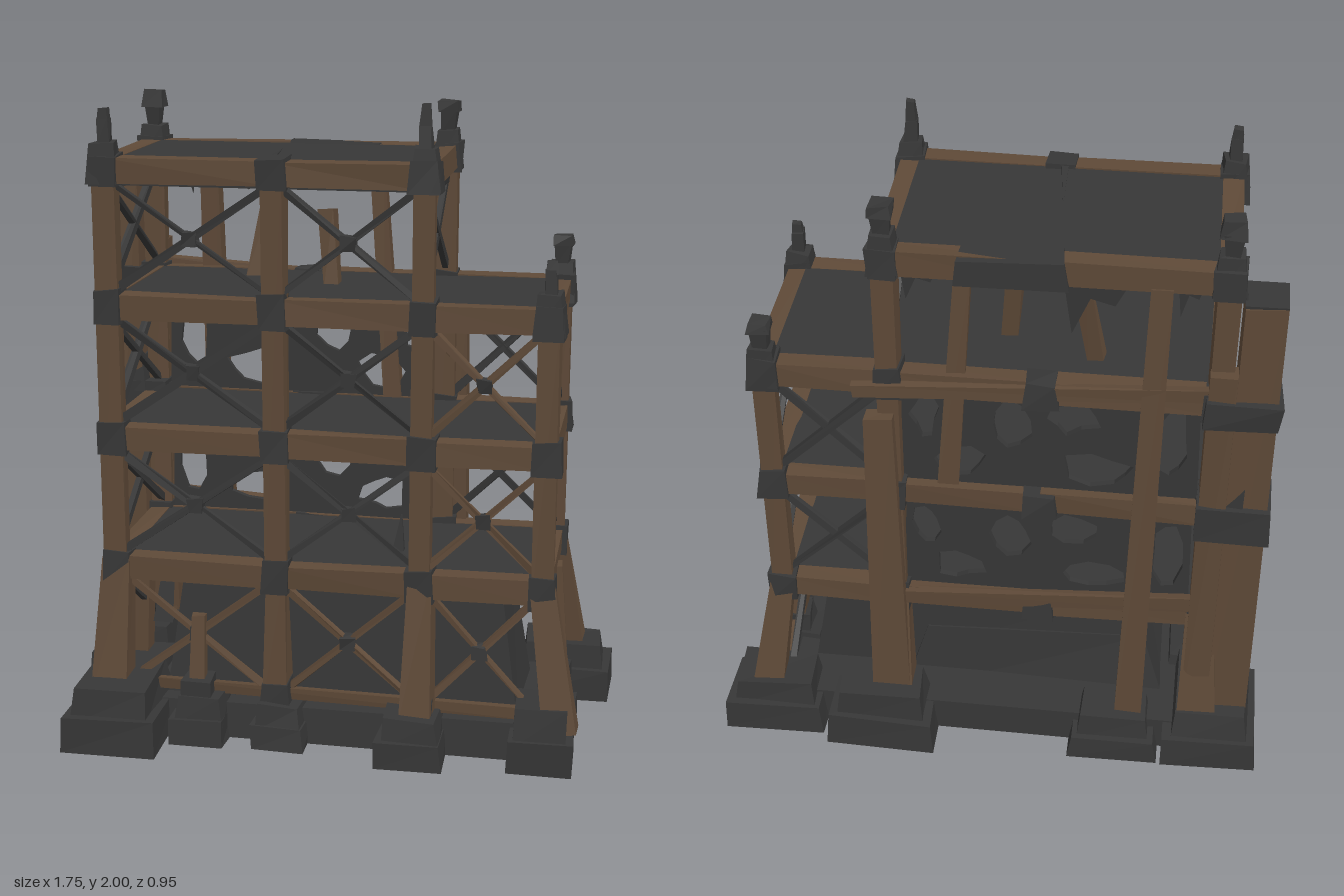
import * as THREE from 'three';

const wood = new THREE.MeshStandardMaterial({ color: 0x5f4a38, flatShading: true });
wood.name = 'weathered wood';
const iron = new THREE.MeshStandardMaterial({ color: 0x373737, flatShading: true });
iron.name = 'dark iron and stone';
const sheet = new THREE.MeshStandardMaterial({ color: 0x353535, flatShading: true, side: THREE.DoubleSide });
sheet.name = 'dark sheet';

export function createModel() {
  const root = new THREE.Group();
  let seed = 11;
  const rnd = () => (seed = (seed * 16807) % 2147483647) / 2147483647;
  const wob = a => (rnd() - 0.5) * 2 * a;

  function add(name, geo, mat) {
    const m = new THREE.Mesh(geo, mat);
    m.name = name;
    root.add(m);
    return m;
  }

  // Box whose eight corners are moved: top scaled by taper, then roughened
  function roughBox(w, h, d, taper = 1, rough = 0) {
    const g = new THREE.BoxGeometry(w, h, d);
    const p = g.attributes.position;
    const off = Array.from({ length: 8 }, () => [wob(rough), wob(rough), wob(rough)]);
    for (let i = 0; i < p.count; i++) {
      const x = p.getX(i), y = p.getY(i), z = p.getZ(i);
      const o = off[(x > 0 ? 1 : 0) + (y > 0 ? 2 : 0) + (z > 0 ? 4 : 0)];
      const t = y > 0 ? taper : 1;
      p.setXYZ(i, x * t + o[0], y + (y > 0 ? o[1] : 0), z * t + o[2]);
    }
    g.computeVertexNormals();
    return g;
  }
  function block(name, x0, x1, y0, y1, z0, z1, mat, taper = 1, rough = 0.006) {
    const m = add(name, roughBox(x1 - x0, y1 - y0, z1 - z0, taper, rough), mat);
    m.position.set((x0 + x1) / 2, (y0 + y1) / 2, (z0 + z1) / 2);
  }
  // Squared timber between two points
  function beam(name, a, b, w, d, mat, taper = 1, rough = 0.004) {
    const A = new THREE.Vector3(...a), B = new THREE.Vector3(...b);
    const dir = B.clone().sub(A), len = dir.length();
    const m = add(name, roughBox(w, len, d, taper, rough), mat);
    m.position.copy(A).add(B).multiplyScalar(0.5);
    m.quaternion.setFromUnitVectors(new THREE.Vector3(0, 1, 0), dir.normalize());
  }
  function cross(name, a, b, y0, y1, mat, w = 0.022) {
    beam(name, [a[0], y0, a[1]], [b[0], y1, b[1]], w, w, mat, 0.8);
    beam(name, [a[0], y1, a[1]], [b[0], y0, b[1]], w, w, mat, 0.8);
  }

  const X = [-0.66, -0.15, 0.30, 0.67], F = 0.24, B = -0.29;
  const levels = [0.55, 0.97, 1.38, 1.79];
  const tops = [1.79, 1.79, 1.79, 1.38];

  // Columns, splayed legs and iron joints
  const legs = [[-0.015, 0.125], [0, 0.08], [0, 0.10], [0.07, 0.10]];
  X.forEach((x, i) => [F, B].forEach(z => {
    const s = Math.sign(z);
    if (i === 1 && z === B) return;
    beam('column', [x, 0.5, z], [x, tops[i], z], 0.066, 0.066, wood);
    const splay = i === 1 ? 0 : 0.055;
    beam('splayedLeg', [x + legs[i][0], 0.12, z + s * splay], [x, 0.58, z], legs[i][1], 0.1, wood, 0.72);
    levels.forEach((y, l) => {
      if (y > tops[i] + 0.01) return;
      const h = l === 3 ? 0.046 : 0.052;
      block('joint', x - 0.044, x + 0.044, y - h, y + h, z - 0.044, z + 0.044, iron, 0.95, 0.007);
    });
  }));

  // Corner caps and finials
  for (const i of [0, 2, 3]) for (const z of [F, B]) {
    const x = X[i], y = tops[i];
    block('cornerCap', x - 0.046, x + 0.046, y - 0.04, y + 0.085, z - 0.044, z + 0.044, iron, 0.72);
    const spike = z === F;
    const back = i === 0 && !spike;
    block('finialStem', x - 0.02, x + 0.02, y + 0.075, y + 0.15, z - 0.02, z + 0.02, iron, spike ? 0.85 : 1.35, 0.004);
    if (spike) block('finialSpike', x - 0.017, x + 0.017, y + 0.14, y + (i === 2 ? 0.21 : 0.18), z - 0.014, z + 0.014, iron, 0.8, 0.003);
    else block('finialHead', x - 0.034, x + 0.034, y + 0.14, y + (back ? 0.195 : 0.175), z - 0.032, z + 0.032, iron, 0.85);
  }

  // Floor beams and decks
  levels.forEach((y, l) => {
    const last = l === 3 ? 2 : 3, x1 = X[last];
    for (let i = 0; i < last; i++) for (const z of [F, B])
      beam('floorBeam', [X[i], y, z], [X[i + 1], y, z], 0.075, 0.062, wood);
    for (const i of l >= 2 ? [0, 2, 3] : [0, 3]) if (i <= last)
      beam('endBeam', [X[i], y, B], [X[i], y, F], 0.062, 0.07, wood);
    block('deck', -0.635, x1 - 0.025, y - 0.025, y + 0.034, B + 0.025, F - 0.025, iron, 1, 0.002);
    block('deckUnderside', -0.63, x1 - 0.03, y - 0.05, y - 0.02, B + 0.03, F - 0.03, iron, 1, 0.002);
  });
  // Splinter across the top deck
  beam('splinter', [-0.16, 1.83, F], [-0.175, 1.835, 0], 0.025, 0.01, iron, 0.1, 0);

  // Cross braces on front, ends and low rear bay
  const spans = [[0.16, 0.52], [0.6, 0.92], [1.02, 1.34], [1.43, 1.75]];
  spans.forEach(([y0, y1], l) => {
    for (let i = 0; i < (l === 3 ? 2 : 3); i++) {
      const m = l === 0 || i === 2 ? wood : iron;
      const a = X[i] + 0.02, b = X[i + 1] - 0.02, c = (a + b) / 2, h = (y0 + y1) / 2;
      cross('frontBrace', [a, F], [b, F], y0, y1, m);
      block('braceHub', c - 0.022, c + 0.022, h - 0.022, h + 0.022, F - 0.018, F + 0.018, iron);
      if (i === 2 && l) cross('rearBrace', [a, B], [b, B], y0, y1, iron);
    }
    const xr = l === 3 ? X[2] : X[3];
    for (const x of [X[0], xr]) {
      if (l) beam('endBrace', [x, y0, F], [x, y1, B], 0.024, 0.028, iron, 0.8);
      beam('endBrace', [x, y1, F], [x, y0, B], 0.02, 0.02, iron);
      if (l === 3) beam('endRail', [x, y1 - 0.01, F], [x, y1 - 0.02, B], 0.02, 0.03, iron);
    }
  });

  // Low rails and small legs
  beam('lowRail', [-0.62, 0.165, F], [0.7, 0.15, F], 0.035, 0.03, wood);
  beam('lowRail', [0.7, 0.16, F], [0.7, 0.16, B], 0.03, 0.035, wood);
  beam('endPost', [0.71, 0.1, -0.05], [0.68, 0.54, -0.05], 0.075, 0.08, wood, 0.85);
  beam('endPost', [-0.68, 0.1, -0.05], [-0.66, 0.54, -0.05], 0.06, 0.07, wood, 0.85);
  beam('frontPost', [-0.4, 0.1, 0.28], [-0.4, 0.4, 0.25], 0.055, 0.05, wood, 0.8);
  for (const [x, z] of [[-0.15, 0.25], [0.3, 0.27], [-0.4, 0.27], [0.7, -0.05]])
    block('railJoint', x - 0.05, x + 0.05, 0.11, 0.2, z - 0.05, z + 0.05, iron, 0.9);

  // Tall boards and bracing posts at the rear
  block('tallBoard', -0.83, -0.7, 0.15, 1.735, -0.35, -0.21, wood, 0.98);
  block('tallBoardTop', -0.825, -0.705, 1.733, 1.742, -0.345, -0.215, iron, 1, 0.001);
  block('tallBoardEdge', -0.71, -0.62, 0.15, 1.5, -0.36, -0.29, wood, 0.9);
  for (const [y0, y1] of [[1.33, 1.42], [0.91, 1.03]])
    block('boardCuff', -0.838, -0.62, y0, y1, -0.37, -0.2, iron, 1, 0.008);
  block('boardPatch', -0.755, -0.694, 1.0, 1.12, -0.356, -0.203, iron, 0.9, 0.006);
  beam('rearPost', [-0.45, 0.1, -0.335], [-0.48, 1.76, -0.3], 0.09, 0.07, wood, 0.7);
  beam('rearPost', [0.32, 0.1, -0.345], [0.325, 1.27, -0.33], 0.12, 0.075, wood, 0.7);
  beam('rearPost', [0.13, 0.98, -0.28], [0.08, 1.76, -0.28], 0.06, 0.045, wood, 0.8);
  beam('looseStrut', [-0.03, 1.4, -0.06], [-0.05, 1.64, -0.09], 0.05, 0.05, wood);
  beam('looseStrut', [-0.3, 1.4, -0.16], [-0.24, 1.76, -0.22], 0.05, 0.045, wood);
  beam('rearRail', [-0.7, 0.62, -0.32], [0.3, 0.56, -0.33], 0.05, 0.03, wood);
  beam('rearRail', [-0.7, 1.42, -0.32], [0.4, 1.36, -0.33], 0.045, 0.03, wood);
  // Dark wraps on the rear beams
  for (const [x0, x1, y] of [[-0.22, 0.1, 1.79], [-0.2, -0.1, 1.38], [-0.2, -0.1, 0.97], [-0.2, -0.1, 0.55]])
    block('rearWrap', x0, x1, y - 0.045, y + 0.04, -0.345, -0.25, iron, 0.92);

  // Irregular hole outline
  function raggedHole(cx, cy, rx, ry) {
    const pts = [];
    for (let i = 0; i < 9; i++) {
      const a = i / 9 * Math.PI * 2, r = 0.88 + wob(0.26);
      pts.push(new THREE.Vector2(cx + Math.cos(a) * rx * r, cy + Math.sin(a) * ry * r));
    }
    return new THREE.Path(pts);
  }
  // Torn rear walls on the two middle storeys
  for (const y of [0.58, 1.0]) {
    const wall = new THREE.Shape([[-0.62, y], [0.28, y], [0.26, y + 0.36], [-0.61, y + 0.36]].map(p => new THREE.Vector2(...p)));
    for (const [cx, cy, rx, ry] of [[-0.54, 0.2, 0.055, 0.14], [-0.32, 0.09, 0.12, 0.065], [-0.24, 0.27, 0.08, 0.055], [-0.06, 0.23, 0.075, 0.1], [0.1, 0.09, 0.08, 0.065], [0.2, 0.25, 0.045, 0.085]])
      wall.holes.push(raggedHole(cx, y + cy, rx, ry));
    const g = new THREE.ExtrudeGeometry(wall, { depth: 0.02, bevelEnabled: false });
    add('tornWall', g, iron).position.z = -0.29;
  }
  // Hanging scraps below the top deck, and shards lower down
  for (const [x, w, h] of [[-0.56, 0.08, 0.12], [-0.3, 0.2, 0.2], [0.2, 0.12, 0.12]]) {
    const s = new THREE.Shape([[-w / 2, 0], [-w / 4, -h * 0.5], [w * 0.1, -h * 0.4], [w * 0.35, -h], [w / 2, 0]].map(p => new THREE.Vector2(...p)));
    add('hangingScrap', new THREE.ShapeGeometry(s), sheet).position.set(x, 1.77, -0.28);
  }
  beam('deckShard', [0.2, 0.57, 0.04], [0.21, 0.7, 0.04], 0.04, 0.03, iron, 0.1, 0);
  beam('brokenSheet', [-0.58, 0.28, 0.02], [-0.56, 0.54, 0], 0.05, 0.02, iron, 0.4, 0.01);

  // Rock core and base slab
  block('rockCore', -0.53, 0.62, 0, 0.51, -0.19, 0.19, iron, 0.88, 0.012);
  block('rockShoulder', -0.58, 0.3, 0, 0.3, -0.22, 0.16, iron, 0.8, 0.02);
  block('baseSlab', -0.74, 0.7, 0, 0.12, -0.36, 0.27, iron, 0.97, 0.008);

  // Stepped foot stones: x0, x1, z0, z1, height
  const feet = [
    [-0.87, -0.57, -0.44, -0.07, 0.2], [-0.55, -0.27, -0.44, -0.25, 0.16],
    [0.18, 0.53, -0.475, -0.25, 0.21], [0.55, 0.87, -0.44, -0.22, 0.19],
    [0.6, 0.77, -0.13, 0.05, 0.13], [0.58, 0.78, 0.15, 0.37, 0.2],
    [0.18, 0.39, 0.15, 0.41, 0.15], [-0.22, -0.05, 0.15, 0.34, 0.14],
    [-0.48, -0.3, 0.15, 0.35, 0.15], [-0.8, -0.5, 0.12, 0.47, 0.2],
    [-0.78, -0.55, -0.12, 0.2, 0.15]];
  for (const [x0, x1, z0, z1, h] of feet) {
    const e = (x1 - x0) * 0.07;
    block('footStoneBase', x0, x1, 0, h * 0.55, z0, z1, iron, 0.96, 0.008);
    block('footStoneTop', x0 + e, x1 - e, h * 0.4, h, z0 + e, z1 - e, iron, 0.88, 0.008);
  }
  return root;
}
